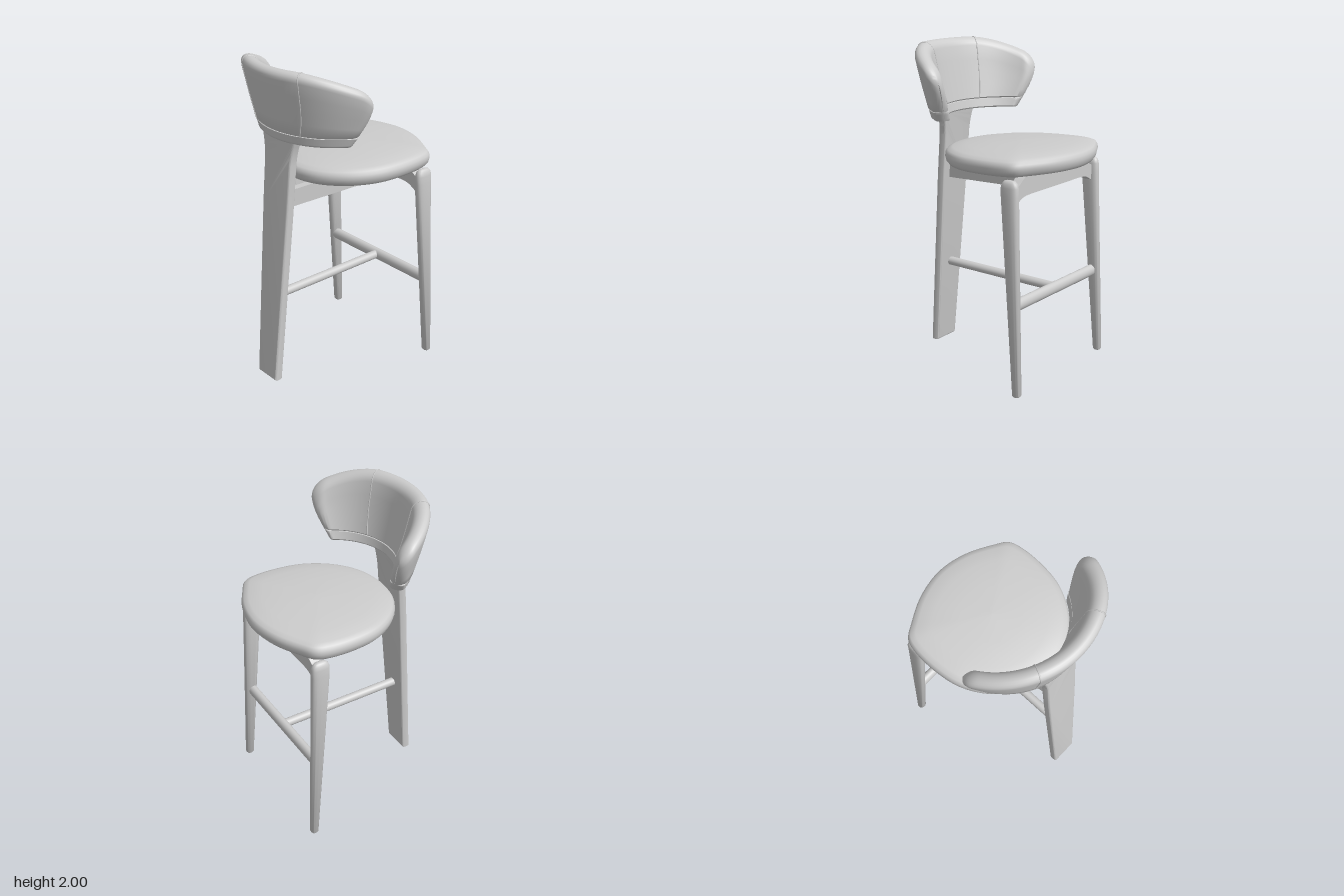
import * as THREE from 'three';
import { toCreasedNormals } from 'three/addons/utils/BufferGeometryUtils.js';

const V = (x, y, z) => new THREE.Vector3(x, y, z);

// Quarter-circle falloff: 1 up to t = 0, then down to 0 at t = 1
const roundOff = t => Math.sqrt(Math.max(0, 1 - Math.max(0, t) ** 2));

// Skin a list of closed rings; each end gets its own flat cap. Faces are turned outward.
function loft(rings) {
  const n = rings[0].length, pos = [], idx = [];
  const push = p => pos.push(p.x, p.y, p.z) / 3 - 1;
  rings.forEach(r => r.forEach(push));
  for (let i = 0; i < rings.length - 1; i++) {
    for (let j = 0; j < n; j++) {
      const a = i * n + j, b = i * n + (j + 1) % n;
      idx.push(a, b, b + n, a, b + n, a + n);
    }
  }
  [rings[0], rings[rings.length - 1]].forEach((r, end) => {
    const c = r.reduce((s, p) => s.add(p), V(0, 0, 0)).divideScalar(n);
    const k = push(c);
    r.forEach(push);
    for (let j = 0; j < n; j++) {
      const a = k + 1 + j, b = k + 1 + (j + 1) % n;
      if (end) idx.push(k, a, b);
      else idx.push(k, b, a);
    }
  });
  const at = i => V(pos[i * 3], pos[i * 3 + 1], pos[i * 3 + 2]);
  let volume = 0;
  for (let i = 0; i < idx.length; i += 3) {
    volume += at(idx[i]).dot(at(idx[i + 1]).cross(at(idx[i + 2])));
  }
  if (volume < 0) idx.reverse();
  const g = new THREE.BufferGeometry();
  g.setAttribute('position', new THREE.Float32BufferAttribute(pos, 3));
  g.setIndex(idx);
  g.computeVertexNormals();
  return g;
}

// Move every vertex of a geometry by a rule
function warp(g, rule) {
  const p = g.attributes.position;
  for (let i = 0; i < p.count; i++) {
    const v = rule(V(p.getX(i), p.getY(i), p.getZ(i)));
    p.setXYZ(i, v.x, v.y, v.z);
  }
  return toCreasedNormals(g, 0.6);
}

// Cushioned seat: one outline swept through a rounded edge profile
function seatGeometry() {
  const half = [[-0.31, 0.18], [-0.2, 0.33], [-0.04, 0.428], [0.12, 0.46], [0.3, 0.457],
    [0.385, 0.43], [0.44, 0.35], [0.52, 0.19]];
  const pts = [V(-0.345, 0, 0), ...half.map(([x, z]) => V(x, 0, z)), V(0.555, 0, 0),
    ...half.slice().reverse().map(([x, z]) => V(x, 0, -z))];
  const outline = new THREE.CatmullRomCurve3(pts, true, 'centripetal').getPoints(96).slice(0, 96);
  const profile = [[0.01, 0], [0.86, 0], [0.95, 0.006], [0.985, 0.025], [1, 0.052], [0.992, 0.075],
    [0.965, 0.092], [0.9, 0.105], [0.72, 0.12], [0.4, 0.13], [0.01, 0.134]];
  return loft(profile.map(([s, h]) => outline.map(p => {
    const x = 0.12 + (p.x - 0.12) * s;
    return V(x, 1.285 + (x + 0.3) * 0.03 + h, p.z * s);
  })));
}

// One vertical section of the curved backrest at s (-1..1 across its width)
function backSection(s, y0, top, half, r, tip) {
  const u = Math.abs(s);
  const w = Math.max(0.003, half * roundOff((u - 1 + tip) / tip));
  const yt = top(u) - r, loop = [[-w, y0 + 0.008], [-w * 0.85, y0], [w * 0.85, y0], [w, y0 + 0.008]];
  for (const f of [0.25, 0.5, 0.75]) loop.push([w, y0 + (yt - y0) * f]);
  for (let i = 0; i <= 10; i++) {
    const a = i / 10 * Math.PI;
    loop.push([w * Math.cos(a), yt + r * Math.sin(a)]);
  }
  for (const f of [0.75, 0.5, 0.25]) loop.push([-w, y0 + (yt - y0) * f]);
  return loop.map(([d, y]) => {
    const t = Math.min(1, (y - 1.56) / 0.24), reach = 63 + 12 * Math.sin(t * Math.PI / 2);
    const a = THREE.MathUtils.degToRad(s * reach);
    const R = 0.402 + (y - 1.56) * 0.21 + 0.033 * u * u * t + d;
    return V(-R * Math.cos(a), y, R * Math.sin(a));
  });
}

function backGeometry(...args) {
  const rings = [];
  for (let i = 0; i <= 64; i++) {
    rings.push(backSection(Math.sin((i / 32 - 1) * Math.PI / 2), ...args));
  }
  return toCreasedNormals(loft(rings), 0.7);
}

// Tapered front leg with a softened top; side is +1 or -1
function legGeometry(side) {
  const levels = [[0, 0.4, 0.44, 0.418, 0.461], [0.008, 0.395, 0.445, 0.413, 0.466],
    [1.2, 0.292, 0.407, 0.387, 0.446], [1.25, 0.292, 0.406, 0.387, 0.446],
    [1.275, 0.3, 0.399, 0.391, 0.442], [1.288, 0.312, 0.387, 0.4, 0.433], [1.293, 0.33, 0.37, 0.41, 0.423]];
  const q = v => Math.sign(v) * Math.abs(v) ** 0.75;
  return toCreasedNormals(loft(levels.map(([y, x0, x1, z0, z1]) => {
    const ring = [];
    for (let i = 0; i < 24; i++) {
      const c = Math.cos(i / 12 * Math.PI), s = Math.sin(i / 12 * Math.PI);
      ring.push(V((x0 + x1) / 2 + q(c) * (x1 - x0) / 2, y, side * ((z0 + z1) / 2 + q(s) * (z1 - z0) / 2)));
    }
    return ring;
  })), 0.9);
}

// Wide rear plank that leans back and flares under the backrest
function postGeometry() {
  const b = 0.013, s = new THREE.Shape();
  s.moveTo(-0.09 + b, b);
  s.lineTo(0.09 - b, b);
  s.lineTo(0.118 - b, 1.15);
  s.lineTo(0.12 - b, 1.42);
  s.quadraticCurveTo(0.125 - b, 1.5, 0.15 - b, 1.57);
  s.lineTo(-0.15 + b, 1.57);
  s.quadraticCurveTo(-0.125 + b, 1.5, -0.12 + b, 1.42);
  s.lineTo(-0.118 + b, 1.15);
  const g = new THREE.ExtrudeGeometry(s, { depth: 0.055 - 2 * b, bevelSize: b, bevelThickness: b, bevelSegments: 4 });
  g.rotateY(Math.PI / 2);
  return warp(g, v => v.setX(v.x - 0.56 + b + v.y * 0.0865));
}

// Arched beam between the front legs
function beamGeometry() {
  const s = new THREE.Shape();
  s.moveTo(-0.41, 1.14);
  s.bezierCurveTo(-0.34, 1.16, -0.36, 1.185, -0.25, 1.185);
  s.lineTo(0.25, 1.185);
  s.bezierCurveTo(0.36, 1.185, 0.34, 1.16, 0.41, 1.14);
  s.lineTo(0.41, 1.24);
  s.bezierCurveTo(0.34, 1.245, 0.33, 1.305, 0.25, 1.305);
  s.lineTo(-0.25, 1.305);
  s.bezierCurveTo(-0.33, 1.305, -0.34, 1.245, -0.41, 1.24);
  const g = new THREE.ExtrudeGeometry(s, { depth: 0.06, bevelEnabled: false });
  g.rotateY(Math.PI / 2);
  return warp(g, v => v.setX(v.x + 0.315));
}

// Rail under the seat, splaying from the post to the front beam
function railGeometry(side) {
  const s = new THREE.Shape();
  s.moveTo(-0.415, 1.134);
  s.lineTo(0.33, 1.2);
  s.lineTo(0.33, 1.3);
  s.lineTo(-0.12, 1.29);
  s.bezierCurveTo(-0.2, 1.27, -0.26, 1.245, -0.415, 1.245);
  const g = new THREE.ExtrudeGeometry(s, { depth: 0.045, bevelEnabled: false });
  return warp(g, v => v.setZ(v.z - 0.0225 + side * (0.036 + (v.x + 0.415) / 0.745 * 0.145)));
}

export function createModel() {
  const model = new THREE.Group();
  const grey = new THREE.MeshStandardMaterial({ color: 0xcccccc });
  grey.name = 'light grey';
  const add = (name, geometry) => {
    const m = new THREE.Mesh(geometry, grey);
    m.name = name;
    model.add(m);
    return m;
  };

  add('seat', seatGeometry());

  // Backrest pad, its lower band and the two vertical seams
  const padTop = u => 1.93 - 0.13 * Math.max(0, (u - 0.3) / 0.7) ** 1.7 + 0.07 * roundOff((u - 0.85) / 0.15);
  const pad = [1.618, padTop, 0.05, 0.05, 0.1];
  add('backrestPad', backGeometry(...pad));
  add('backrestBand', backGeometry(1.56, () => 1.622, 0.048, 0.006, 0.06));
  for (const side of [-1, 1]) {
    const path = new THREE.CatmullRomCurve3(backSection(side * 0.37, ...pad), true, 'centripetal');
    add('backrestSeam', new THREE.TubeGeometry(path, 100, 0.004, 6, true));
  }

  // Wooden frame
  add('backPost', postGeometry());
  add('frontBeam', beamGeometry());
  for (const side of [-1, 1]) {
    add(side > 0 ? 'frontLegLeft' : 'frontLegRight', legGeometry(side));
    add('seatRail', railGeometry(side));
  }

  // Footrest bar and the stretcher joining it to the post
  const bar = add('footrest', new THREE.CylinderGeometry(0.037, 0.037, 0.84, 24).rotateX(Math.PI / 2));
  bar.scale.x = 0.8;
  bar.position.set(0.38, 0.547, 0);
  const stretcher = add('stretcher', new THREE.CylinderGeometry(0.0275, 0.0275, 0.85, 24).rotateZ(Math.PI / 2));
  stretcher.position.set(-0.05, 0.548, 0);
  return model;
}
